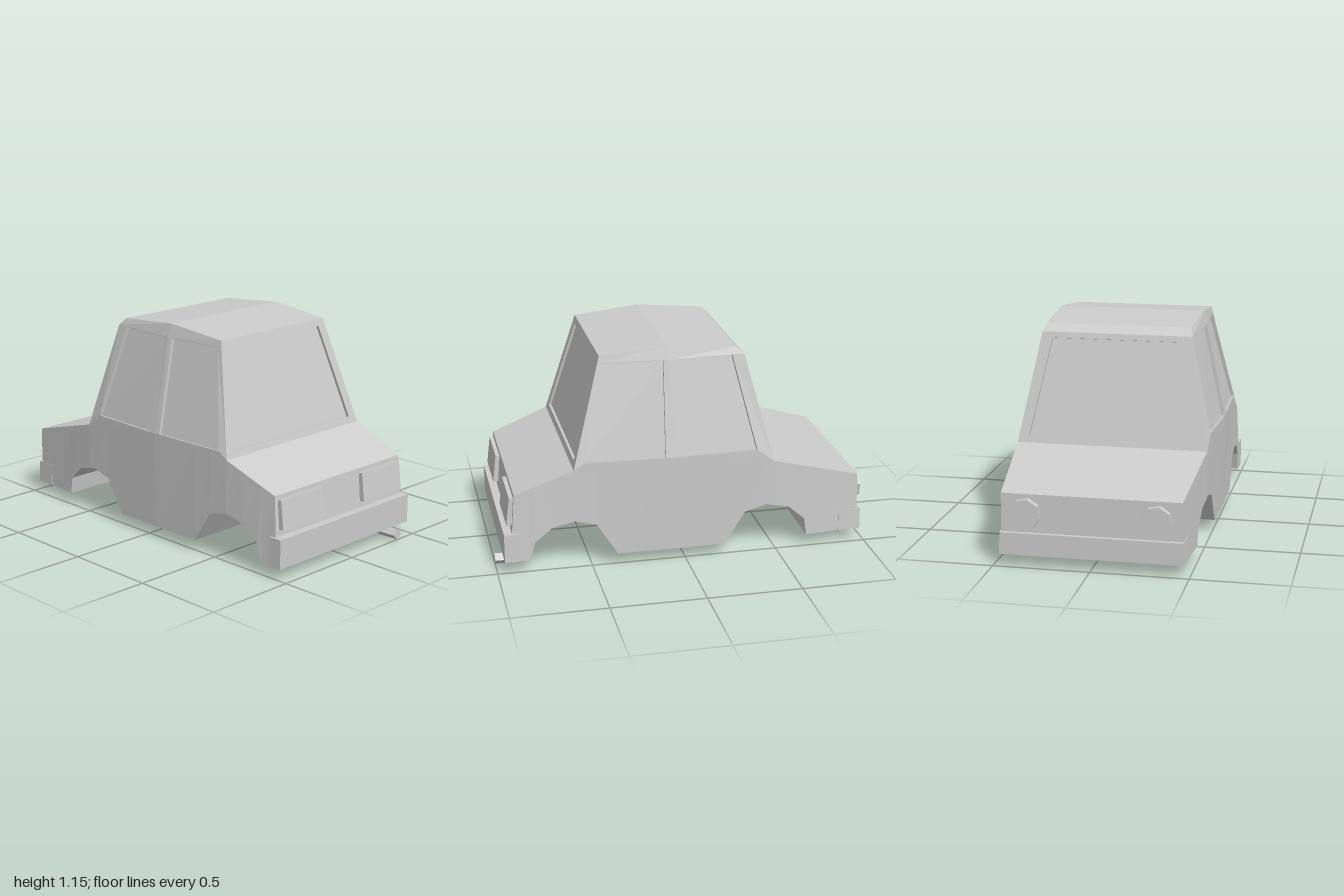
import * as THREE from 'three';

const material = new THREE.MeshStandardMaterial({ color: 0xcccccc, flatShading: true });

// Flat-faced mesh from a list of quads (corners counter-clockwise from outside)
function quadMesh(name, quads) {
  const pos = [];
  for (const [a, b, c, d] of quads) pos.push(...a, ...b, ...c, ...a, ...c, ...d);
  const g = new THREE.BufferGeometry();
  g.setAttribute('position', new THREE.Float32BufferAttribute(pos, 3));
  g.computeVertexNormals();
  return named(name, g);
}

function named(name, geometry, x = 0, y = 0, z = 0) {
  const m = new THREE.Mesh(geometry, material);
  m.name = name;
  m.position.set(x, y, z);
  return m;
}

const mirror = quads => quads.map(q => q.map(([x, y, z]) => [-x, y, z]).reverse());

// Piecewise linear lookup; table rows are [z, value] with falling z
function lookup(table, z) {
  for (let i = 1; i < table.length; i++) {
    const [z0, v0] = table[i - 1], [z1, v1] = table[i];
    if (z >= z1) return v0 + (v1 - v0) * (z0 - z) / (z0 - z1);
  }
  return table[table.length - 1][1];
}

// Loft of four-cornered sections running from +z to -z
function loft(sections) {
  const rings = sections.map(([zB, yB, wB, zT, yT, wT]) =>
    [[-wB, yB, zB], [wB, yB, zB], [wT, yT, zT], [-wT, yT, zT]]);
  const quads = [rings[0], [...rings[rings.length - 1]].reverse()];
  for (let i = 1; i < rings.length; i++) {
    const a = rings[i - 1], b = rings[i];
    for (let j = 0; j < 4; j++) {
      const k = (j + 1) % 4;
      quads.push([a[j], b[j], b[k], a[k]]);
    }
  }
  return quads;
}

// Panel with a sunken window: frame, reveal and pane
function windowPanel(outer, inner, depth) {
  const v = inner.map(p => new THREE.Vector3(...p));
  const n = v[2].clone().sub(v[0]).cross(v[3].clone().sub(v[1])).normalize();
  const pane = v.map(p => p.clone().addScaledVector(n, -depth).toArray());
  const quads = [pane];
  for (let i = 0; i < 4; i++) {
    const j = (i + 1) % 4;
    quads.push([outer[i], outer[j], inner[j], inner[i]], [inner[i], inner[j], pane[j], pane[i]]);
  }
  return quads;
}

export function createModel() {
  const car = new THREE.Group();
  car.name = 'car';

  // Lower body: underside with wheel arches, shoulder line and plan width
  const under = [[0.83, 0.06], [0.8, 0.16], [0.71, 0.235], [0.59, 0.265], [0.475, 0.235],
    [0.365, 0.06], [0.075, 0.06], [-0.215, 0.06], [-0.325, 0.235], [-0.445, 0.265],
    [-0.48, 0.257], [-0.57, 0.235], [-0.66, 0.155], [-0.675, 0.06]];
  const shoulder = [[0.9, 0.425], [0.59, 0.545], [0.075, 0.58], [-0.48, 0.51], [-0.965, 0.375]];
  const topWidth = [[0.9, 0.48], [0.59, 0.505], [0.075, 0.525], [-0.48, 0.505], [-0.965, 0.46]];
  const lowWidth = [[0.93, 0.495], [0.59, 0.51], [0.075, 0.515], [-0.48, 0.505], [-0.965, 0.465]];
  car.add(quadMesh('body', loft([
    [0.93, 0.06, 0.495, 0.9, 0.425, 0.48],
    ...under.map(([z, y]) => [z, y, lookup(lowWidth, z), z, lookup(shoulder, z), lookup(topWidth, z)]),
    [-0.965, 0.06, 0.465, -0.965, 0.375, 0.46],
  ])));

  // Bumpers
  car.add(quadMesh('rearBumper', loft([
    [0.96, 0.06, 0.5, 0.96, 0.215, 0.5], [0.885, 0.06, 0.503, 0.885, 0.215, 0.5]])));
  car.add(quadMesh('frontBumper', loft([
    [-0.86, 0.06, 0.478, -0.86, 0.18, 0.475], [-0.985, 0.06, 0.47, -0.985, 0.175, 0.465]])));

  // Roof: crowned strips with chamfered rails along both sides
  const edge = [[0.385, 1.115, 0.43], [0.4, 1.15, 0.075], [0.385, 1.12, -0.29], [0.4, 1.08, -0.335]];
  const rail = [[0.392, 1.08, 0.44], [0.42, 1.08, 0.075], [0.4, 1.08, -0.335]];
  const flip = ([x, y, z]) => [-x, y, z];
  const roof = [];
  for (let i = 0; i < 3; i++) roof.push([flip(edge[i]), edge[i], edge[i + 1], flip(edge[i + 1])]);
  const rails = [0, 1].map(i => [rail[i], rail[i + 1], edge[i + 1], edge[i]]);
  car.add(quadMesh('roof', [...roof, ...rails, ...mirror(rails)]));

  // Side windows, divided by the centre pillar
  const beltX = z => lookup(topWidth, z);
  const railX = z => lookup(rail.map(p => [p[2], p[0]]), z);
  const low = z => [beltX(z), 0.582, z], high = z => [railX(z), 1.077, z];
  const rearCorner = [0.505, 0.545, 0.59], midBelt = [0.525, 0.58, 0.075], frontCorner = [0.505, 0.51, -0.48];
  const side = [
    ...windowPanel([rearCorner, midBelt, rail[1], rail[0]],
      [low(0.535), low(0.11), high(0.1), high(0.415)], 0.02),
    ...windowPanel([midBelt, frontCorner, rail[2], rail[1]],
      [low(0.04), low(-0.385), high(-0.27), high(0.045)], 0.02),
  ];
  car.add(quadMesh('leftCabinSide', side), quadMesh('rightCabinSide', mirror(side)));

  // Rear window and windscreen
  const rearZ = y => 0.59 - 0.16 * (y - 0.545) / 0.57;
  const frontZ = y => -0.48 + 0.145 * (y - 0.51) / 0.57;
  const rearPt = (x, y) => [x, y, rearZ(y)], frontPt = (x, y) => [x, y, frontZ(y)];
  car.add(quadMesh('rearWindow', windowPanel(
    [flip(rearCorner), rearCorner, edge[0], flip(edge[0])],
    [rearPt(-0.445, 0.58), rearPt(0.445, 0.58), rearPt(0.34, 1.08), rearPt(-0.34, 1.08)], 0.015)));
  car.add(quadMesh('windscreen', windowPanel(
    [frontCorner, flip(frontCorner), flip(rail[2]), rail[2]],
    [frontPt(0.445, 0.545), frontPt(-0.445, 0.545), frontPt(-0.345, 1.05), frontPt(0.345, 1.05)], 0.015)));

  // Tail lights lie on the sloping rear face; headlights are eight-sided discs
  for (const s of [-1, 1]) {
    const tail = named(s > 0 ? 'leftTailLight' : 'rightTailLight',
      new THREE.BoxGeometry(0.305, 0.153, 0.04), s * 0.3075, 0.325, 0.913);
    tail.rotation.x = -0.12;
    const lamp = new THREE.CylinderGeometry(0.08, 0.08, 0.04, 8, 1, false, 0.2).rotateX(Math.PI / 2);
    car.add(tail, named(s > 0 ? 'leftHeadlight' : 'rightHeadlight', lamp, s * 0.333, 0.277, -0.98));
  }

  // Exhaust pipe
  const pipe = new THREE.CylinderGeometry(0.03, 0.03, 0.165, 4).rotateX(Math.PI / 2);
  car.add(named('exhaustPipe', pipe, 0.37, 0.03, 0.9175));

  return car;
}
